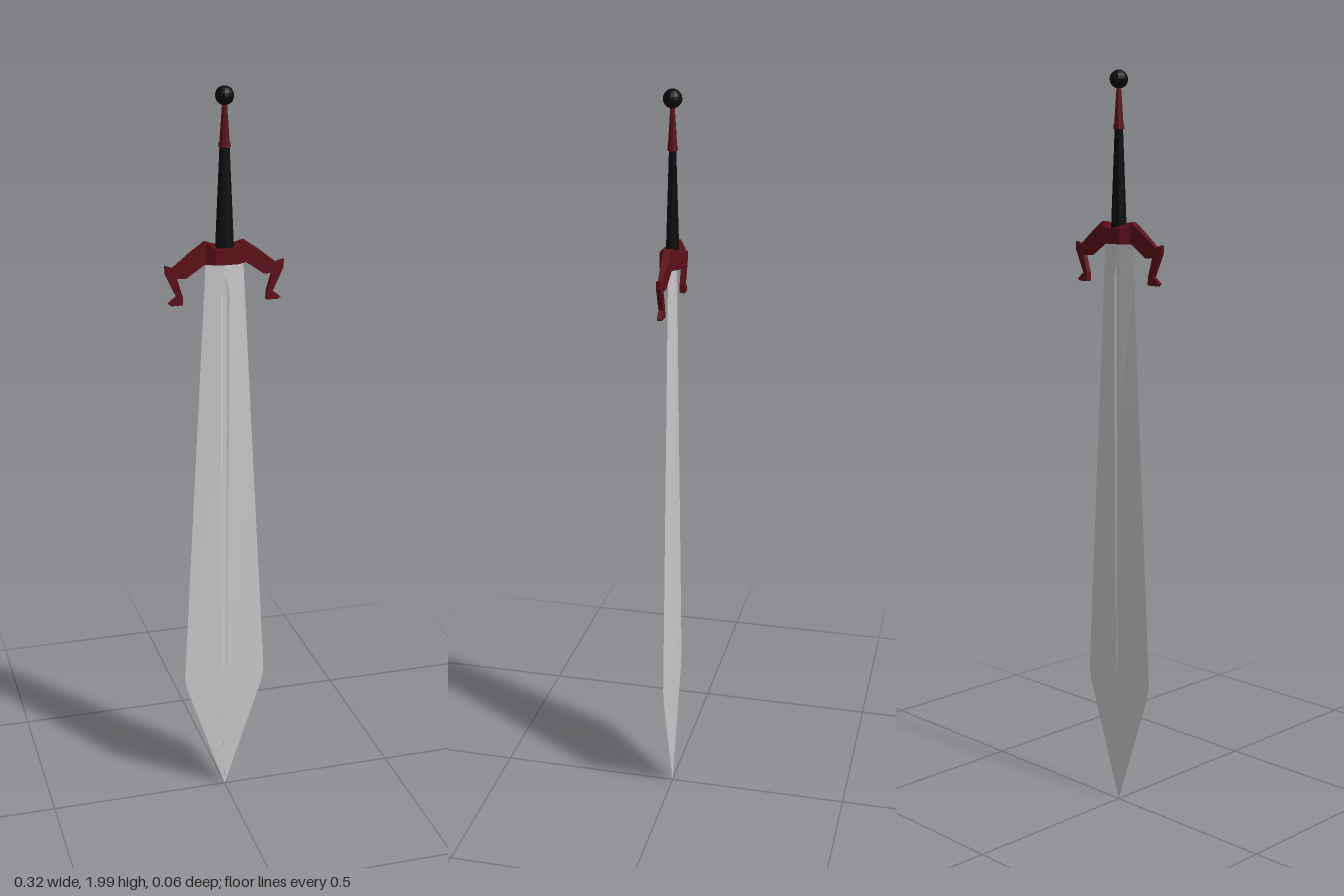
import * as THREE from 'three';

const steel = new THREE.MeshStandardMaterial({ color: 0xcccccc, flatShading: true });
const red = new THREE.MeshStandardMaterial({ color: 0x5c0f17, flatShading: true });
const black = new THREE.MeshStandardMaterial({ color: 0x0b0b0c, flatShading: true });

function part(group, name, geometry, material) {
  const mesh = new THREE.Mesh(geometry, material);
  mesh.name = name;
  group.add(mesh);
  return mesh;
}

// Loft of ten-sided sections: sharp edges, with a shallow fuller on both faces
function bladeGeometry() {
  // y, half width, half thickness, fuller half width, fuller depth
  const stations = [
    [0.01, 0.0005, 0.0003, 0.0002, 0],
    [0.33, 0.108, 0.0025, 0.006, 0],
    [0.37, 0.115, 0.0027, 0.007, 0.0004],
    [0.43, 0.112, 0.003, 0.008, 0.001],
    [1.12, 0.074, 0.005, 0.011, 0.0025],
    [1.47, 0.055, 0.006, 0.011, 0.003],
    [1.52, 0.052, 0.006, 0.004, 0],
    [1.57, 0.05, 0.006, 0.004, 0],
  ];
  const positions = [], index = [], n = 10;
  for (const [y, w, t, f, d] of stations) {
    const half = [[w, 0], [f, t], [f * 0.5, t - d], [-f * 0.5, t - d], [-f, t]];
    for (const s of [1, -1]) for (const [x, z] of half) positions.push(s * x, y, s * z);
  }
  for (let j = 0; j < stations.length - 1; j++) {
    for (let i = 0; i < n; i++) {
      const a = j * n + i, b = j * n + (i + 1) % n;
      index.push(a, a + n, b, b, a + n, b + n);
    }
  }
  const g = new THREE.BufferGeometry();
  g.setAttribute('position', new THREE.Float32BufferAttribute(positions, 3));
  g.setIndex(index);
  g.computeVertexNormals();
  return g;
}

// Octagonal block whose ends rise into small shoulders
function guardBlockGeometry() {
  const plan = [[0.052, 0.01], [0.03, 0.027], [0, 0.029], [-0.03, 0.027], [-0.052, 0.01],
    [-0.052, -0.01], [-0.03, -0.027], [0, -0.029], [0.03, -0.027], [0.052, -0.01]];
  const shape = new THREE.Shape(plan.map(([x, z]) => new THREE.Vector2(x, z)));
  const g = new THREE.ExtrudeGeometry(shape, { depth: 0.04, bevelEnabled: false });
  g.rotateX(-Math.PI / 2);
  g.translate(0, 1.556, 0);
  const p = g.attributes.position;
  for (let i = 0; i < p.count; i++) {
    if (p.getY(i) > 1.58 && Math.abs(p.getX(i)) > 0.04) p.setY(i, 1.612);
  }
  g.computeVertexNormals();
  return g;
}

// Drooping hooked arm, thinning toward its tip
function guardArmGeometry(side) {
  const outline = [[0.04, 1.61], [0.052, 1.613], [0.09, 1.587], [0.137, 1.55], [0.158, 1.557],
    [0.157, 1.535], [0.128, 1.475], [0.15, 1.458], [0.143, 1.452], [0.112, 1.453],
    [0.113, 1.475], [0.127, 1.523], [0.104, 1.522], [0.055, 1.556], [0.04, 1.556]];
  const shape = new THREE.Shape(outline.map(([x, y]) => new THREE.Vector2(side * x, y)));
  const g = new THREE.ExtrudeGeometry(shape, { depth: 2, bevelEnabled: false });
  g.translate(0, 0, -1);
  const p = g.attributes.position;
  for (let i = 0; i < p.count; i++) {
    const k = (Math.abs(p.getX(i)) - 0.04) / 0.12;
    p.setZ(i, p.getZ(i) * (0.011 - 0.006 * k));
  }
  g.computeVertexNormals();
  return g;
}

// Oval tapered section of the handle
function handlePart(group, name, y0, y1, r0, r1, depth, material) {
  const m = part(group, name, new THREE.CylinderGeometry(r1, r0, y1 - y0, 10), material);
  m.position.y = (y0 + y1) / 2;
  m.scale.z = depth;
}

export function createModel() {
  const sword = new THREE.Group();
  sword.name = 'sword';

  part(sword, 'blade', bladeGeometry(), steel);

  const guard = new THREE.Group();
  guard.name = 'guard';
  sword.add(guard);
  part(guard, 'guardBlock', guardBlockGeometry(), red);
  part(guard, 'leftArm', guardArmGeometry(1), red);
  part(guard, 'rightArm', guardArmGeometry(-1), red);

  const handle = new THREE.Group();
  handle.name = 'handle';
  sword.add(handle);
  handlePart(handle, 'grip', 1.59, 1.855, 0.025, 0.013, 0.7, black);
  handlePart(handle, 'collar', 1.85, 1.862, 0.016, 0.015, 0.85, red);
  handlePart(handle, 'neck', 1.862, 1.96, 0.013, 0.006, 0.9, red);

  // Ball pommel
  const pommel = part(handle, 'pommel', new THREE.SphereGeometry(0.024, 14, 10), black);
  pommel.position.y = 1.976;

  return sword;
}
